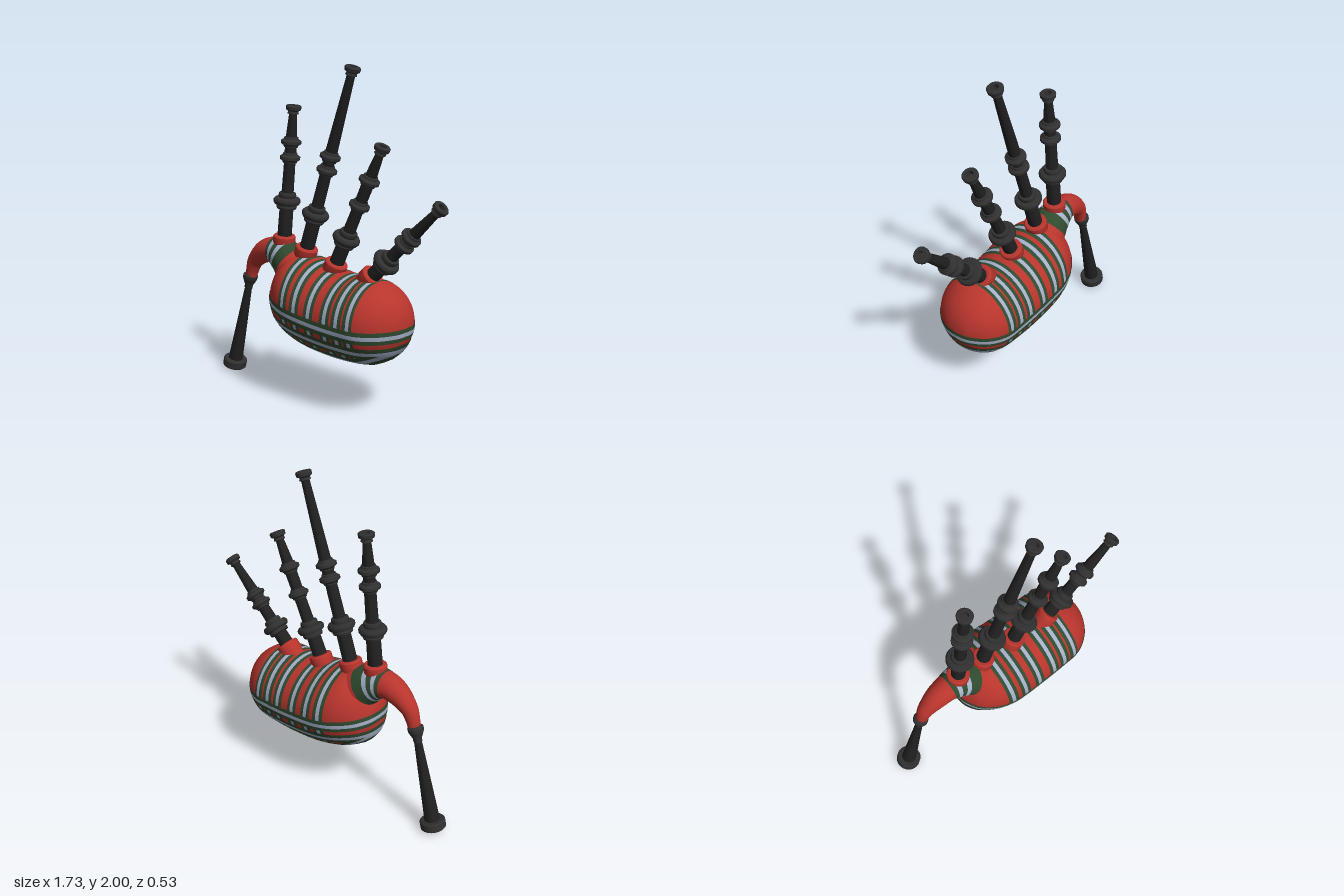
import * as THREE from 'three';
import { toCreasedNormals } from 'three/addons/utils/BufferGeometryUtils.js';

const mat = (color) => new THREE.MeshStandardMaterial({ color, side: THREE.DoubleSide });
const red = mat(0xb8352d), green = mat(0x2f4a2f), pale = mat(0xa4aec8);
const wood = mat(0x202020), trim = mat(0x303030);
const V = (x, y, z = 0) => new THREE.Vector3(x, y, z);

function mesh(name, geometry, material) {
  const m = new THREE.Mesh(geometry, material);
  m.name = name;
  return m;
}

// Smooth grid surface from f(u, v), u and v running over the given ranges
function patch(f, u0, u1, v0, v1, nu, nv) {
  const pos = [], idx = [];
  for (let i = 0; i <= nu; i++) for (let j = 0; j <= nv; j++) {
    const p = f(u0 + (u1 - u0) * i / nu, v0 + (v1 - v0) * j / nv);
    pos.push(p.x, p.y, p.z);
    if (i < nu && j < nv) {
      const a = i * (nv + 1) + j, b = a + nv + 1;
      idx.push(a, b, b + 1, a, b + 1, a + 1);
    }
  }
  const g = new THREE.BufferGeometry();
  g.setAttribute('position', new THREE.Float32BufferAttribute(pos, 3));
  g.setIndex(idx);
  g.computeVertexNormals();
  return g;
}

const lathe = (pts) => toCreasedNormals(
  new THREE.LatheGeometry(pts.map(([r, y]) => new THREE.Vector2(r, y)), 28), 0.6);

// Bag cross-sections: x, bottom, top, half depth
const sections = [
  [-0.36, 0.585, 0.585, 0], [-0.355, 0.52, 0.66, 0.06], [-0.335, 0.46, 0.72, 0.11],
  [-0.29, 0.41, 0.8, 0.17], [-0.2, 0.36, 0.865, 0.23], [-0.1, 0.33, 0.86, 0.258],
  [0, 0.31, 0.835, 0.262], [0.1, 0.3, 0.81, 0.26], [0.2, 0.295, 0.8, 0.258],
  [0.3, 0.297, 0.8, 0.255], [0.4, 0.307, 0.795, 0.25], [0.47, 0.33, 0.772, 0.225],
  [0.53, 0.375, 0.73, 0.18], [0.57, 0.43, 0.68, 0.125], [0.595, 0.485, 0.62, 0.07],
  [0.605, 0.55, 0.55, 0]];
const spline = (pts) => new THREE.CatmullRomCurve3(pts, false, 'catmullrom');
const bagMid = spline(sections.map(([x, b, t]) => V(x, (b + t) / 2)));
const bagSize = spline(sections.map(([, b, t, d]) => V((t - b) / 2, d)));
const bagCentre = V(0.12, 0.56);
const lift = (p, s) => p.sub(bagCentre).multiplyScalar(s).add(bagCentre);

function bagPoint(t, a) {
  const c = bagMid.getPoint(t), s = bagSize.getPoint(t);
  return V(c.x, c.y + s.x * Math.sin(a), s.y * Math.cos(a));
}

// Lengthwise band that follows height h(x), on one side of the bag
function bandGeometry(h, width, side, scale) {
  return patch((t, v) => {
    const c = bagMid.getPoint(t), ry = Math.max(bagSize.getPoint(t).x, 1e-4);
    const s = THREE.MathUtils.clamp((h(c.x) + v * width - c.y) / ry, -1, 1);
    const p = bagPoint(t, Math.asin(s));
    p.z *= side;
    return lift(p, scale);
  }, 0, 1, -0.5, 0.5, 180, 6);
}

// Curved neck: centre line and radius
const neckPath = spline([V(-0.622, 0.655), V(-0.607, 0.71), V(-0.575, 0.77), V(-0.495, 0.832),
  V(-0.405, 0.853), V(-0.3, 0.815), V(-0.15, 0.7)]);
const neckRadius = spline([0.036, 0.043, 0.053, 0.072, 0.084, 0.11, 0.16].map((r) => V(r, 0)));
function neckPoint(t, a, grow = 0) {
  const d = neckPath.getTangent(t), r = neckRadius.getPoint(t).x + grow;
  return neckPath.getPoint(t).add(V(-d.y * Math.sin(a) * r, d.x * Math.sin(a) * r, Math.cos(a) * r));
}

function buildBag() {
  const bag = new THREE.Group();
  bag.name = 'bag';
  const a0 = -Math.PI / 2, a1 = Math.PI * 1.5;
  bag.add(mesh('bagBody', patch(bagPoint, 0, 1, a0, a1, 150, 96), red));
  bag.add(mesh('neck', patch(neckPoint, 0, 1, a0, a1, 60, 40), red));

  // Cross stripes
  for (const x of [-0.105, -0.01, 0.1, 0.22, 0.305, 0.385])
    for (const [name, m, w, s] of [['crossStripe', green, 0.068, 1.003], ['crossStripeLine', pale, 0.024, 1.006]]) {
      const t = (u) => (6 + 10 * u) / 15;
      bag.add(mesh(name, patch((u, a) => lift(bagPoint(u, a), s), t(x - w / 2), t(x + w / 2), a0, a1, 6, 96), m));
    }

  // Lengthwise bands
  const base = (x) => 0.545 - 0.133 * x + 0.152 * x * x;
  const heights = [base, (x) => base(x) - 0.1,
    (x) => base(x) - 0.19 + Math.max(0, x - 0.35) * 0.4 + Math.max(0, -0.2 - x) * 0.5];
  for (const h of heights) for (const side of [1, -1]) {
    bag.add(mesh('longBand', bandGeometry(h, 0.072, side, 1.009), green));
    bag.add(mesh('longBandLine', bandGeometry(h, 0.024, side, 1.012), pale));
  }

  // Neck stripes
  for (const [name, m, t0, t1, g] of [['neckBand', green, 0.655, 0.87, 0.002],
    ['neckLine', pale, 0.69, 0.725, 0.004], ['neckLine', pale, 0.765, 0.8, 0.004]])
    bag.add(mesh(name, patch((t, a) => neckPoint(t, a, g), t0, t1, a0, a1, 12, 40), m));
  return bag;
}

// Turned group whose local y axis runs from one point to another
function along(name, from, to) {
  const g = new THREE.Group();
  g.name = name;
  g.position.copy(from);
  g.quaternion.setFromUnitVectors(V(0, 1), to.clone().sub(from).normalize());
  return g;
}

// Drone: red stock, tapered tube, large joint, small beads and a flared bored tip
function buildDrone(name, from, to, joint, beads, stockDrop) {
  const g = along(name, from, to), L = from.distanceTo(to);
  g.add(mesh('stock', lathe([[0, -0.1], [0.064, -0.1], [0.064, -0.02 - stockDrop], [0.069, -0.01 - stockDrop],
    [0.069, 0.022], [0.062, 0.03], [0, 0.03]]), red));
  const last = beads[beads.length - 1];
  g.add(mesh('tube', lathe([[0, 0], [0.044, 0], [0.042, joint], [0.037, joint + 0.02], [0.034, beads[0]],
    [0.036, last], [0.024, L - 0.05], [0, L - 0.05]]), wood));
  g.add(mesh('joint', lathe([[0.04, -0.045], [0.058, -0.042], [0.062, -0.03], [0.058, -0.018], [0.074, -0.014],
    [0.082, 0], [0.082, 0.012], [0.074, 0.024], [0.05, 0.028], [0.054, 0.04], [0.05, 0.055], [0.034, 0.058]]), trim));
  g.children[2].position.y = joint;
  for (const y of beads) {
    const b = mesh('bead', lathe([[0.03, -0.034], [0.042, -0.03], [0.044, -0.02], [0.061, -0.008], [0.061, 0.008],
      [0.044, 0.02], [0.042, 0.03], [0.03, 0.034]]), trim);
    b.position.y = y;
    g.add(b);
  }
  const tip = mesh('tip', lathe([[0.022, -0.055], [0.034, -0.05], [0.03, -0.035], [0.045, -0.026], [0.047, -0.006],
    [0.041, 0], [0.022, 0], [0.02, -0.03], [0, -0.03]]), trim);
  tip.position.y = L;
  g.add(tip);
  return g;
}

// Chanter: melody pipe hanging from the neck, with a wide bored foot
function buildChanter() {
  const from = V(-0.798, 0.019), to = V(-0.627, 0.67), L = from.distanceTo(to);
  const g = along('chanter', from, to);
  g.add(mesh('foot', lathe([[0, 0.02], [0.025, 0.02], [0.03, 0], [0.07, 0], [0.076, 0.006], [0.076, 0.048],
    [0.07, 0.055], [0.04, 0.055]]), trim));
  g.add(mesh('chanterTube', lathe([[0, 0.03], [0.047, 0.03], [0.043, 0.12], [0.022, L - 0.09], [0, L - 0.09]]), wood));
  g.add(mesh('chanterCup', lathe([[0.02, L - 0.11], [0.026, L - 0.1], [0.026, L - 0.08], [0.042, L - 0.045],
    [0.047, L - 0.03], [0.047, L - 0.012], [0.036, L], [0, L]]), trim));
  return g;
}

export function createModel() {
  const model = new THREE.Group();
  model.name = 'bagpipes';
  model.add(buildBag(), buildChanter(),
    buildDrone('firstDrone', V(-0.33, 0.93), V(-0.243, 1.75), 0.24, [0.51, 0.605], 0.02),
    buildDrone('tallDrone', V(-0.148, 0.885), V(0.213, 1.985), 0.24, [0.53, 0.615], 0.02),
    buildDrone('thirdDrone', V(0.085, 0.83), V(0.43, 1.56), 0.19, [0.42, 0.585], 0.02),
    buildDrone('shortDrone', V(0.352, 0.805), V(0.832, 1.268), 0.15, [0.325, 0.39], 0.02));
  return model;
}
